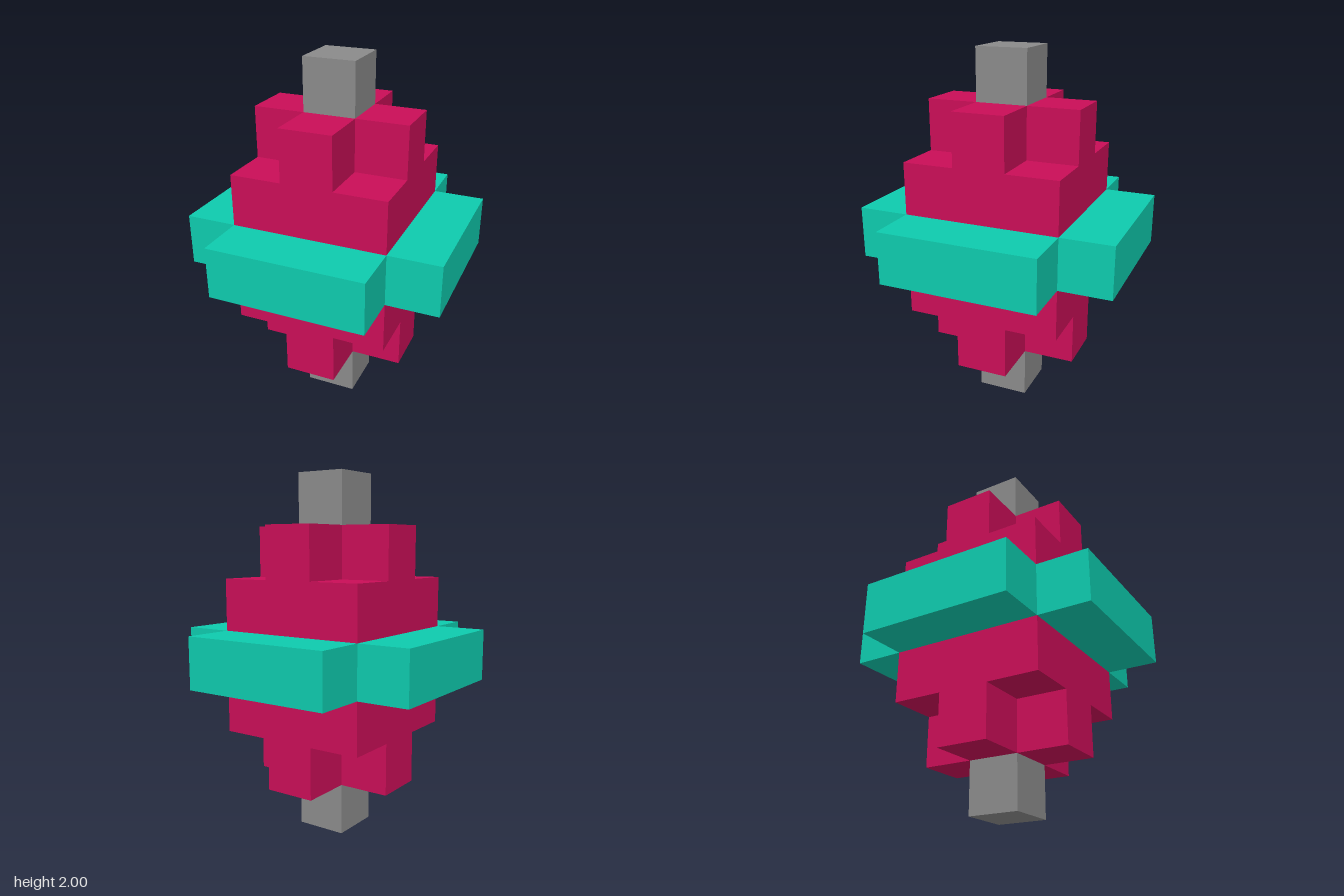
import * as THREE from 'three';

const U = 2 / 7; // one block of the seven-block height

export function createModel() {
  const group = new THREE.Group();
  group.name = 'blockOrnament';

  const material = (name, color) => {
    const m = new THREE.MeshStandardMaterial({ color });
    m.name = name;
    return m;
  };
  const crimson = material('crimson', 0xc90e57);
  const teal = material('teal', 0x0ecaad);
  const grey = material('grey', 0x8a8a8a);

  // Box with size and centre given in blocks
  const block = (name, mat, [w, h, d], [x, y, z]) => {
    const mesh = new THREE.Mesh(new THREE.BoxGeometry(w * U, h * U, d * U), mat);
    mesh.name = name;
    mesh.position.set(x * U, y * U, z * U);
    group.add(mesh);
  };

  // Central cube
  block('core', crimson, [3, 3, 3], [0, 3.5, 0]);

  // Teal slabs on the four sides of the core
  for (const s of [1, -1]) {
    block(s > 0 ? 'leftSlab' : 'rightSlab', teal, [1, 1, 3], [2 * s, 3.5, 0]);
    block(s > 0 ? 'frontSlab' : 'backSlab', teal, [3, 1, 1], [0, 3.5, 2 * s]);
  }

  // Plus-shaped step and end post, mirrored above and below
  for (const v of [1, -1]) {
    const end = v > 0 ? 'top' : 'bottom';
    const y = 3.5 + 2 * v;
    block(end + 'CrossBar', crimson, [3, 1, 1], [0, y, 0]);
    block(end + 'CrossFront', crimson, [1, 1, 1], [0, y, 1]);
    block(end + 'CrossBack', crimson, [1, 1, 1], [0, y, -1]);
    block(end + 'Post', grey, [1, 1, 1], [0, 3.5 + 3 * v, 0]);
  }
  return group;
}
